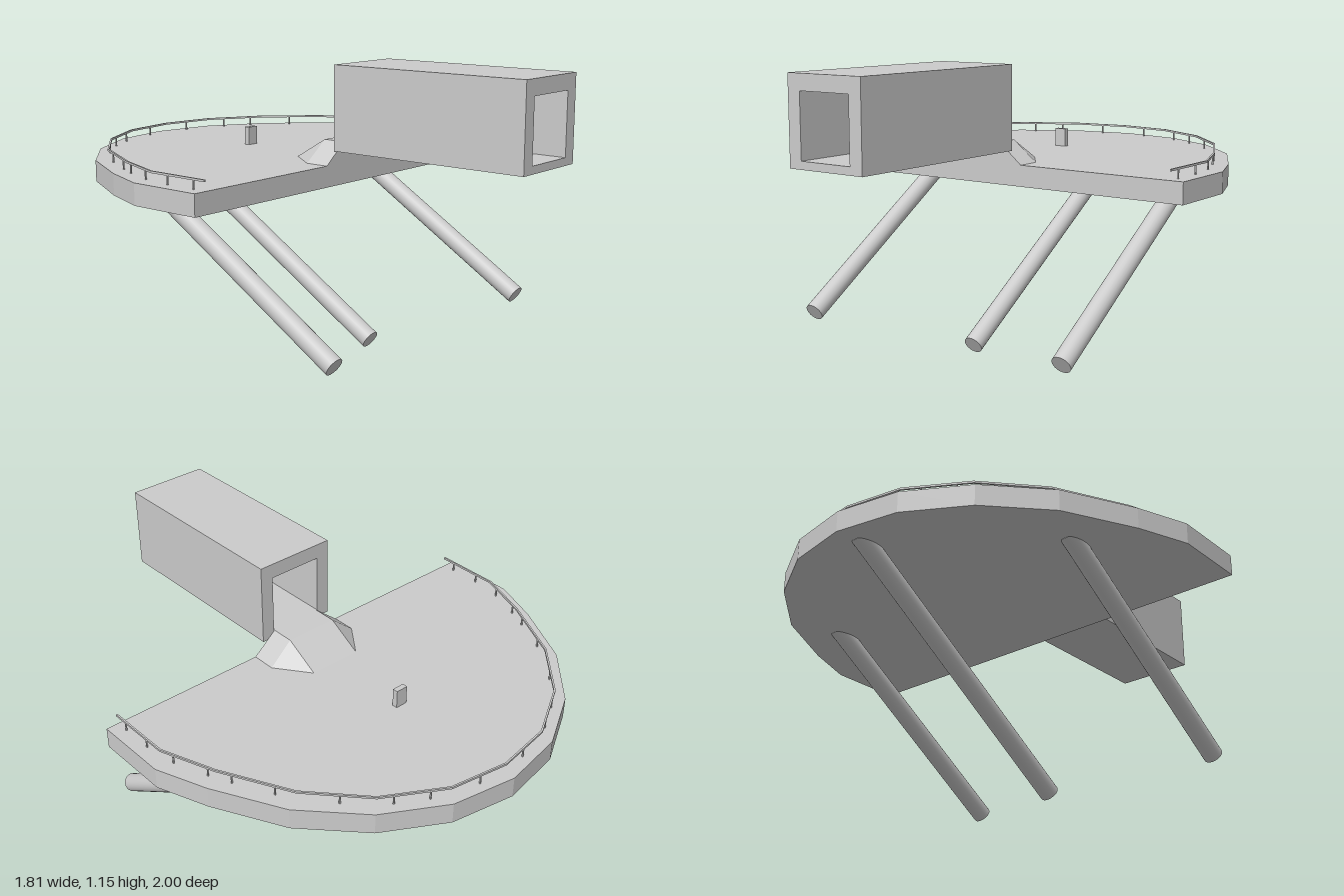
import * as THREE from 'three';
import { ConvexGeometry } from 'three/addons/geometries/ConvexGeometry.js';

const V = (x, y, z) => new THREE.Vector3(x, y, z);

export function createModel() {
  const model = new THREE.Group();
  const flat = new THREE.MeshStandardMaterial({ color: 0xcccccc, flatShading: true });
  const smooth = new THREE.MeshStandardMaterial({ color: 0xcccccc });
  const DECK_BOTTOM = 0.685, DECK_TOP = 0.768, FRONT = 0.165;

  const add = (parent, name, geometry, material = flat) => {
    const mesh = new THREE.Mesh(geometry, material);
    mesh.name = name;
    parent.add(mesh);
    return mesh;
  };
  // Mirrors a half outline of [x, z] points, running from the +x front to the back centre
  const mirrored = half => [...half, ...half.slice(0, -1).reverse().map(([x, z]) => [-x, z])];

  // Half-round platform
  const deckOutline = mirrored([[0.905, FRONT], [0.905, -0.14], [0.83, -0.34], [0.69, -0.61],
    [0.49, -0.82], [0.255, -0.955], [0, -1]]);
  const deckShape = new THREE.Shape(deckOutline.map(([x, z]) => new THREE.Vector2(x, -z)));
  const deck = new THREE.ExtrudeGeometry(deckShape, { depth: DECK_TOP - DECK_BOTTOM, bevelEnabled: false });
  deck.rotateX(-Math.PI / 2);
  deck.translate(0, DECK_BOTTOM, 0);
  add(model, 'platform', deck);

  // Thin railing along the curved edge
  const railing = new THREE.Group();
  railing.name = 'railing';
  model.add(railing);
  const railPath = mirrored([[0.855, FRONT], [0.855, -0.105], [0.777, -0.32], [0.64, -0.59],
    [0.457, -0.79], [0.232, -0.92], [0, -0.957]]);
  for (let i = 0; i < railPath.length - 1; i++) {
    const a = V(railPath[i][0], 0.805, railPath[i][1]);
    const b = V(railPath[i + 1][0], 0.805, railPath[i + 1][1]);
    const rail = add(railing, 'handrail', new THREE.BoxGeometry(0.007, 0.008, a.distanceTo(b) + 0.002));
    rail.position.copy(a).lerp(b, 0.5);
    rail.lookAt(b);
  }
  const posts = [[0.855, 0.11], [0.855, -0.02], [0.836, -0.155], [0.787, -0.29], [0.749, -0.375],
    [0.676, -0.52], [0.541, -0.698], [0.406, -0.82], [0.295, -0.884], [0.11, -0.94]];
  for (const [x, z] of posts) {
    for (const side of [-1, 1]) {
      const post = add(railing, 'railPost', new THREE.BoxGeometry(0.005, 0.035, 0.005));
      post.position.set(side * x, DECK_TOP + 0.0175, z);
    }
  }

  // Hollow square passage, open at both ends
  const tunnelShape = new THREE.Shape([[-0.168, 0.82], [0.168, 0.82], [0.168, 1.15], [-0.168, 1.15]]
    .map(p => new THREE.Vector2(...p)));
  tunnelShape.holes.push(new THREE.Path([[-0.113, 0.85], [-0.113, 1.09], [0.113, 1.09], [0.113, 0.85]]
    .map(p => new THREE.Vector2(...p))));
  const tunnel = new THREE.ExtrudeGeometry(tunnelShape, { depth: 1 - FRONT, bevelEnabled: false });
  tunnel.translate(0, 0, FRONT);
  add(model, 'passage', tunnel);

  // Faceted ramp from the passage down to the platform
  const rampCorners = [];
  for (const s of [-1, 1]) {
    rampCorners.push(V(s * 0.21, DECK_TOP, FRONT), V(s * 0.21, DECK_TOP, 0.065),
      V(s * 0.11, DECK_TOP, -0.07), V(s * 0.11, 0.85, FRONT), V(s * 0.11, 0.85, 0.07));
  }
  add(model, 'ramp', new ConvexGeometry(rampCorners));

  // Small console standing on the platform
  const consoleBox = add(model, 'console', new THREE.BoxGeometry(0.05, 0.074, 0.022));
  consoleBox.position.set(0, DECK_TOP + 0.037, -0.43);

  // Slanting support struts, running up and back into the platform
  for (const [x, y, z] of [[-0.573, 0.14, 0.503], [0.01, 0.034, 0.207], [0.627, 0.14, 0.503]]) {
    const foot = V(x, y, z);
    const rise = 0.715 - y;
    const head = V(x - 0.033 * rise, 0.715, z - 1.629 * rise);
    const along = head.clone().sub(foot);
    const strut = add(model, 'supportStrut', new THREE.CylinderGeometry(0.0385, 0.0385, along.length(), 24), smooth);
    strut.position.copy(foot).lerp(head, 0.5);
    strut.quaternion.setFromUnitVectors(V(0, 1, 0), along.normalize());
  }
  return model;
}
